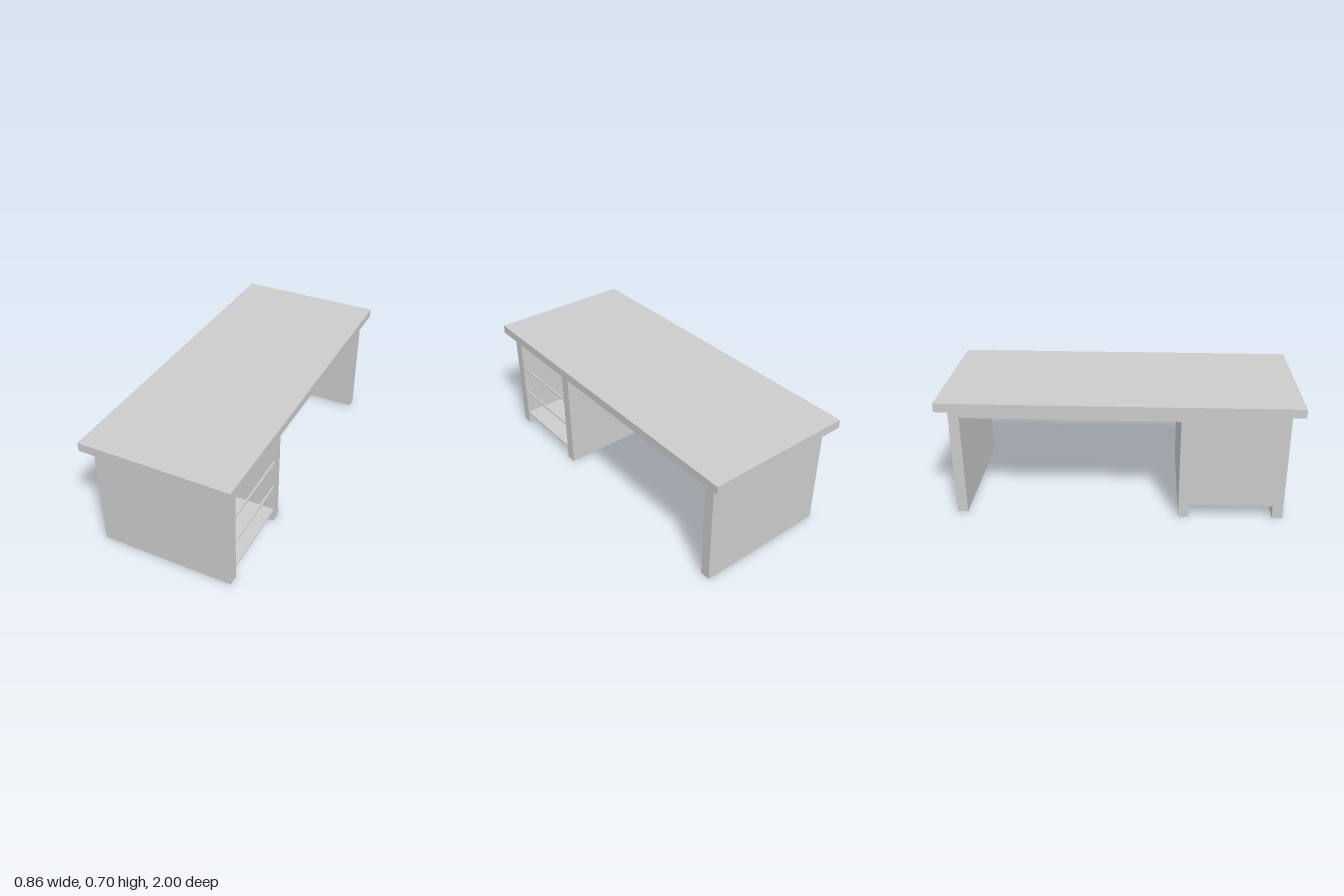
import * as THREE from 'three';

export function createModel() {
  const desk = new THREE.Group();
  desk.name = 'desk';
  const material = new THREE.MeshStandardMaterial({ color: 0xcccccc, flatShading: true });

  // Box given by its min and max along each axis
  function box(name, [x0, x1], [y0, y1], [z0, z1]) {
    const mesh = new THREE.Mesh(new THREE.BoxGeometry(x1 - x0, y1 - y0, z1 - z0), material);
    mesh.position.set((x0 + x1) / 2, (y0 + y1) / 2, (z0 + z1) / 2);
    mesh.name = name;
    desk.add(mesh);
  }

  const depth = [-0.39, 0.39];
  const bay = [0.4, 0.875]; // open space inside the pedestal

  // Top and the slab under it
  box('deskTop', [-0.43, 0.43], [0.65, 0.7], [-1, 1]);
  box('underTop', depth, [0.6, 0.65], [-0.935, 0.935]);

  // Upright panels
  box('frontPanel', depth, [0.004, 0.6], [0.875, 0.935]);
  box('innerPanel', depth, [0, 0.6], [0.34, 0.4]);
  box('backPanel', depth, [0.004, 0.6], [-0.935, -0.875]);

  // Pedestal: floor, closed side and thin rails across the opening
  box('pedestalFloor', depth, [0.08, 0.088], bay);
  box('pedestalBack', [-0.39, -0.37], [0.088, 0.6], bay);
  for (const y of [0.25, 0.425]) box('drawerRail', [0.38, 0.39], [y, y + 0.009], bay);

  return desk;
}
